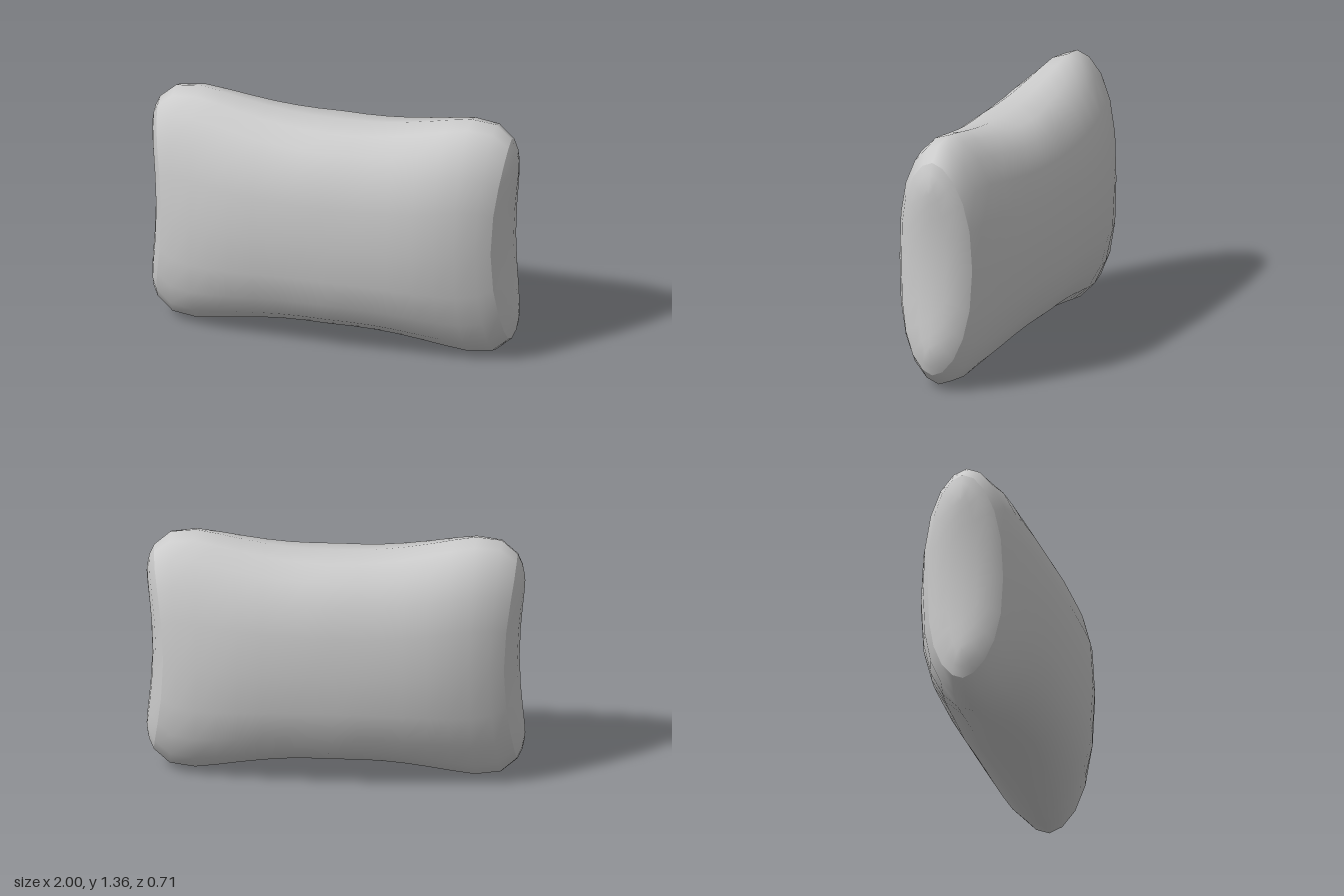
import * as THREE from 'three';
import { mergeVertices } from 'three/addons/utils/BufferGeometryUtils.js';

const SEGMENTS = 20;
const CENTRE_Y = 0.68;

// Upright cross-sections: x, half height, half depth, inward dip of the side edge
const body = [
  [0, 0.585, 0.355, 0],
  [0.13, 0.588, 0.354, 0],
  [0.25, 0.596, 0.351, 0],
  [0.37, 0.611, 0.345, 0],
  [0.5, 0.634, 0.335, 0],
  [0.62, 0.659, 0.316, 0.008],
  [0.74, 0.68, 0.288, 0.02],
  [0.875, 0.665, 0.25, 0.05],
  [0.96, 0.59, 0.205, 0.06],
];
const cap = [
  body[body.length - 1],
  [0.985, 0.535, 0.155, 0.045],
  [0.997, 0.475, 0.08, 0.035],
  [1, 0.44, 0, 0.03],
];

const mirrored = (rows) => rows.map(([x, ...rest]) => [-x, ...rest]).reverse();

// One closed lens-shaped ring of points, pointier towards the pillow's ends
function ring([x, h, d, dip]) {
  const points = [];
  const power = 0.4 + 0.15 * Math.min(1, Math.abs(x) / 0.7);
  for (let j = 0; j < SEGMENTS; j++) {
    const a = (j / SEGMENTS) * Math.PI * 2;
    const s = Math.sin(a), c = Math.cos(a);
    const v = Math.min(1, Math.abs(s) ** 0.85);
    const depth = Math.abs(c) < 1e-6 ? 0 : d * (1 - v ** 2.5) ** power;
    const inward = dip * (1 - v * v) ** 1.5;
    points.push(x - Math.sign(x) * inward, CENTRE_Y + Math.sign(s) * v * h, Math.sign(c) * depth);
  }
  return points;
}

// Skin a row of rings, ordered from -x to +x
function loft(rows, name, material) {
  const index = [];
  for (let i = 0; i < rows.length - 1; i++) {
    for (let j = 0; j < SEGMENTS; j++) {
      const k = (j + 1) % SEGMENTS;
      const a = i * SEGMENTS + j, b = a + SEGMENTS;
      const d = i * SEGMENTS + k, c = d + SEGMENTS;
      index.push(a, b, c, a, c, d);
    }
  }
  let geometry = new THREE.BufferGeometry();
  geometry.setAttribute('position', new THREE.Float32BufferAttribute(rows.flatMap(ring), 3));
  geometry.setIndex(index);
  geometry = mergeVertices(geometry, 1e-5);
  geometry.computeVertexNormals();
  const mesh = new THREE.Mesh(geometry, material);
  mesh.name = name;
  return mesh;
}

export function createModel() {
  const group = new THREE.Group();
  group.name = 'pillow';
  const material = new THREE.MeshStandardMaterial({ color: 0xcccccc });
  // Cushion body, with separate end panels so their seams stay crisp
  group.add(loft([...mirrored(body.slice(1)), ...body], 'cushionBody', material));
  group.add(loft(cap, 'leftEndPanel', material));
  group.add(loft(mirrored(cap), 'rightEndPanel', material));
  return group;
}
